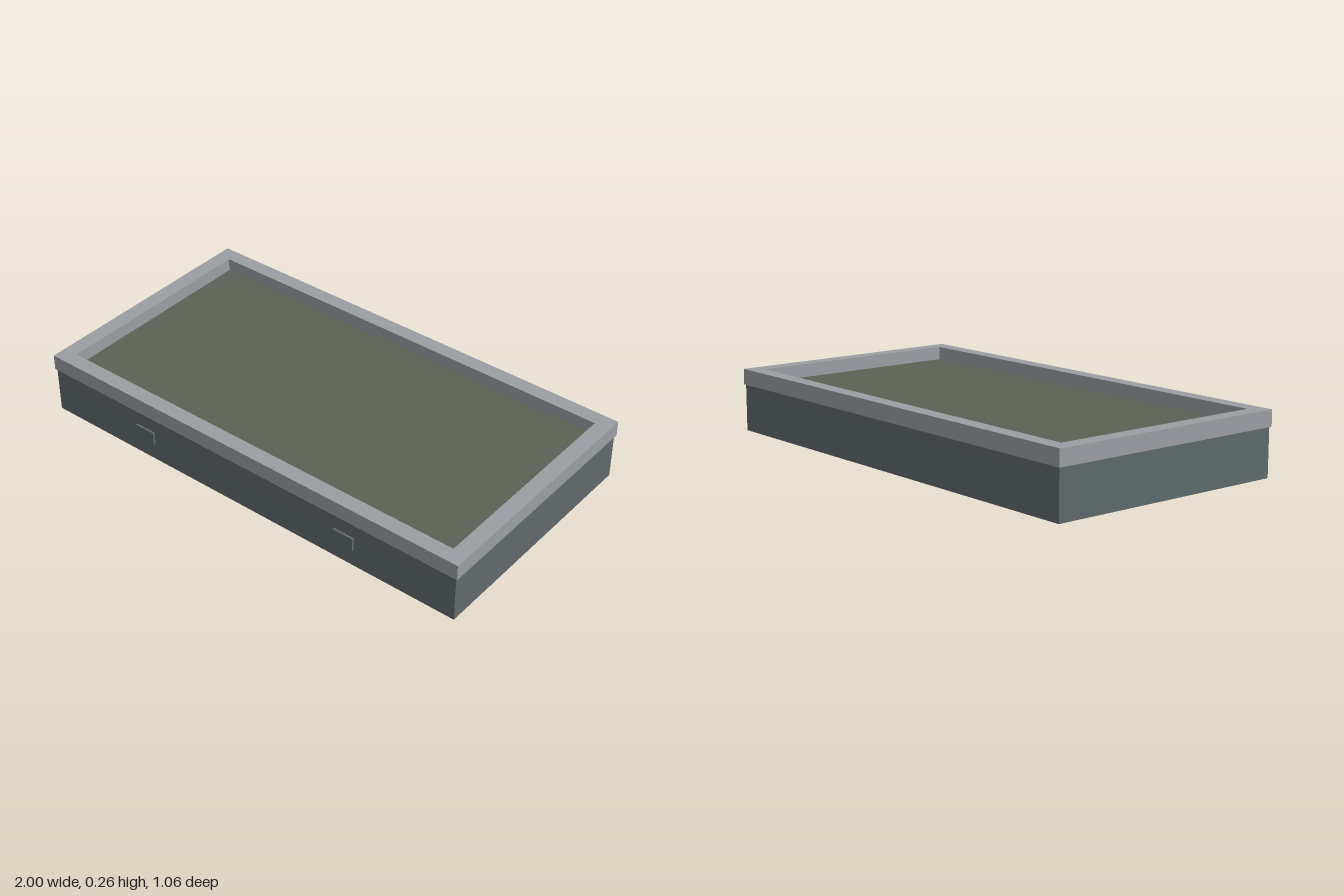
import * as THREE from 'three';

export function createModel() {
  const model = new THREE.Group();
  const bodyGrey = new THREE.MeshStandardMaterial({ color: 0x5f696b });
  const rimGrey = new THREE.MeshStandardMaterial({ color: 0x9a9fa3 });
  const olive = new THREE.MeshStandardMaterial({ color: 0x5b6153 });
  const zMid = -0.004;

  const box = (name, material, size, position) => {
    const mesh = new THREE.Mesh(new THREE.BoxGeometry(...size), material);
    mesh.name = name;
    mesh.position.set(...position);
    model.add(mesh);
  };

  // Rectangle outline centred on the origin
  const rectangle = (Type, w, d) => new Type([
    new THREE.Vector2(-w / 2, -d / 2), new THREE.Vector2(w / 2, -d / 2),
    new THREE.Vector2(w / 2, d / 2), new THREE.Vector2(-w / 2, d / 2),
  ]);

  // Tray body and the recessed top panel
  box('body', bodyGrey, [1.986, 0.2, 1.044], [0, 0.1, zMid]);
  box('topPanel', olive, [1.9, 0.008, 0.96], [0, 0.203, zMid]);

  // Raised rim, slightly overhanging the body
  const frame = rectangle(THREE.Shape, 2, 1.054);
  frame.holes.push(rectangle(THREE.Path, 1.87, 0.926));
  const rimGeometry = new THREE.ExtrudeGeometry(frame, { depth: 0.066, bevelEnabled: false });
  rimGeometry.rotateX(-Math.PI / 2);
  const rim = new THREE.Mesh(rimGeometry, rimGrey);
  rim.name = 'rim';
  rim.position.set(0, 0.197, zMid);
  model.add(rim);

  // Two small latches on the front
  for (const [name, side] of [['leftLatch', 1], ['rightLatch', -1]]) {
    box(name, bodyGrey, [0.092, 0.056, 0.009], [side * 0.497, 0.11, 0.527]);
  }
  return model;
}
